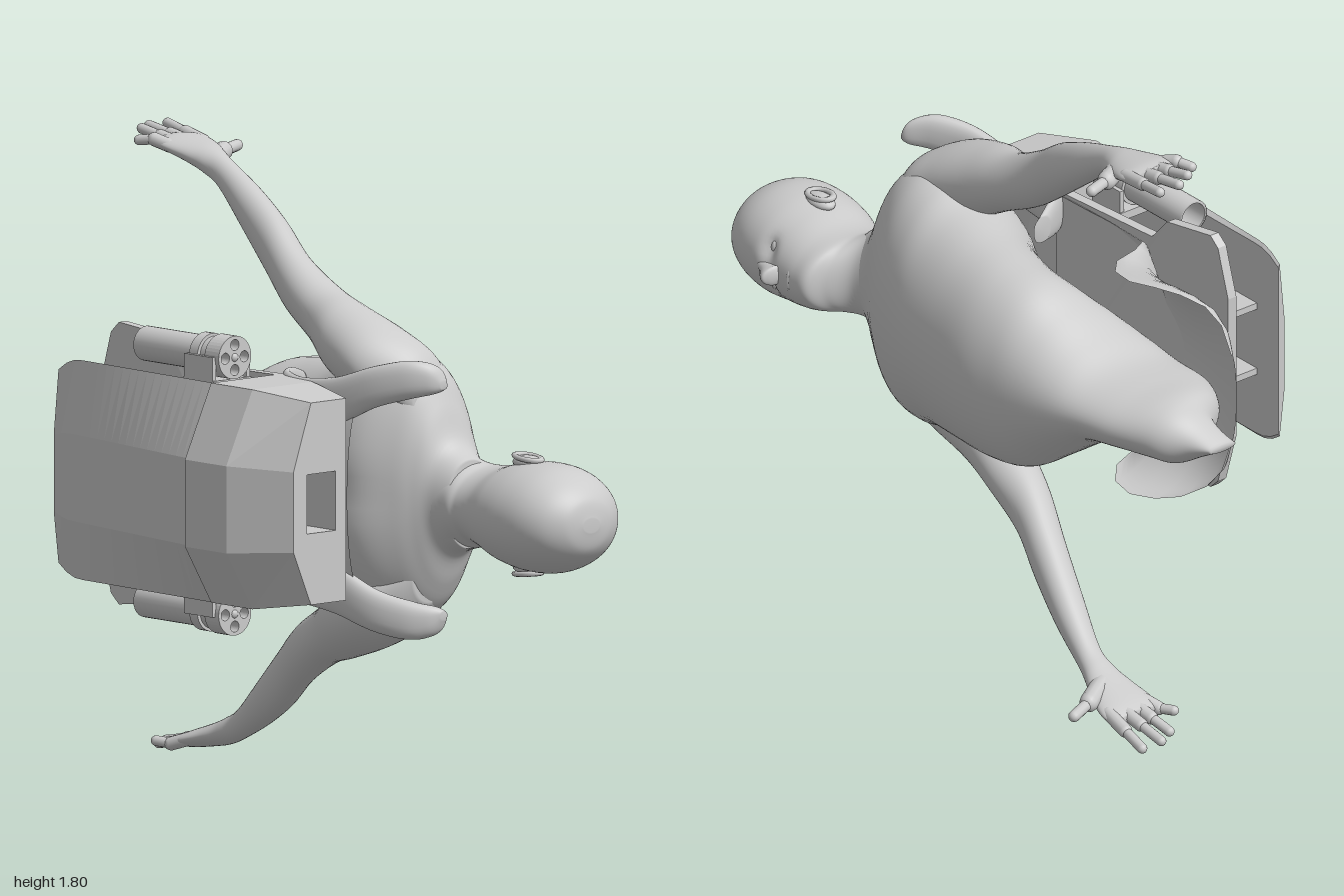
import * as THREE from 'three';

const MID = 0.9; // height of the body's plane of symmetry
const grey = new THREE.MeshStandardMaterial({ color: 0xcccccc });
const thin = new THREE.MeshStandardMaterial({ color: 0xcccccc, side: THREE.DoubleSide });

const spline = (a, b, c, d, t) =>
  0.5 * (2 * b + (c - a) * t + (2 * a - 5 * b + 4 * c - d) * t * t + (3 * b - a - 3 * c + d) * t ** 3);

// Smooth skin over rows [z, back x, front x, centre y, half width], z descending
function loft(rows, power = 2, seg = 40, steps = 6) {
  const at = i => rows[Math.min(Math.max(i, 0), rows.length - 1)];
  const pos = [], idx = [], n = (rows.length - 1) * steps;
  for (let k = 0; k <= n; k++) {
    const i = Math.floor(k / steps), t = (k % steps) / steps;
    const [z, x0, x1, y, w] = rows[0].map((_, j) => spline(at(i - 1)[j], at(i)[j], at(i + 1)[j], at(i + 2)[j], t));
    for (let j = 0; j < seg; j++) {
      const a = (j / seg) * Math.PI * 2, c = Math.cos(a), s = Math.sin(a);
      pos.push((x0 + x1) / 2 + (x1 - x0) / 2 * Math.sign(c) * Math.abs(c) ** (2 / power),
        y + w * Math.sign(s) * Math.abs(s) ** (2 / power), z);
      const p = k * seg + j, q = k * seg + (j + 1) % seg;
      if (k < n) idx.push(p, p + seg, q, q, p + seg, q + seg);
    }
  }
  for (const [row, k] of [[at(0), 0], [at(rows.length), n]]) {
    const centre = pos.length / 3;
    pos.push((row[1] + row[2]) / 2, row[3], row[0]);
    for (let j = 0; j < seg; j++) {
      const p = k * seg + j, q = k * seg + (j + 1) % seg;
      idx.push(centre, ...(k ? [q, p] : [p, q]));
    }
  }
  const g = new THREE.BufferGeometry();
  g.setAttribute('position', new THREE.Float32BufferAttribute(pos, 3));
  g.setIndex(idx);
  g.computeVertexNormals();
  return g;
}

// Move each vertex by a rule
function bend(g, rule) {
  const p = g.attributes.position, v = new THREE.Vector3();
  for (let i = 0; i < p.count; i++) {
    rule(v.fromBufferAttribute(p, i));
    p.setXYZ(i, v.x, v.y, v.z);
  }
  g.computeVertexNormals();
  return g;
}

const polygon = pts => new THREE.Shape(pts.map(p => new THREE.Vector2(...p)));
const extrude = (shape, depth, steps = 1) =>
  new THREE.ExtrudeGeometry(shape, { depth, steps, bevelEnabled: false, curveSegments: 20 });

export function createModel() {
  const model = new THREE.Group();
  const add = (name, g, x = 0, y = 0, z = 0, mat = grey, parent = model) => {
    const m = new THREE.Mesh(g, mat);
    m.name = name;
    m.position.set(x, y, z);
    parent.add(m);
    return m;
  };
  const blob = (name, x, y, z, sx, sy, sz) =>
    add(name, new THREE.SphereGeometry(1, 20, 14), x, y, z).scale.set(sx, sy, sz);

  // Torso, narrowing to the crotch, with a shallow spine groove
  add('torso', bend(loft([
    [0.52, 0.06, 0.25, 0.87, 0.125], [0.46, 0.045, 0.265, 0.88, 0.165], [0.42, 0.02, 0.275, 0.89, 0.26],
    [0.37, -0.02, 0.305, MID, 0.345], [0.28, -0.08, 0.36, MID, 0.39], [0.18, -0.1, 0.395, MID, 0.385],
    [0.08, -0.09, 0.42, MID, 0.35], [-0.05, -0.02, 0.435, MID, 0.325], [-0.2, 0.02, 0.445, MID, 0.31],
    [-0.32, 0.02, 0.43, MID, 0.29], [-0.42, -0.02, 0.41, 0.905, 0.23], [-0.52, -0.05, 0.385, 0.91, 0.165],
    [-0.61, -0.06, 0.36, 0.915, 0.115], [-0.72, -0.06, 0.33, 0.915, 0.1], [-0.82, -0.01, 0.29, 0.915, 0.095],
    [-0.88, 0.06, 0.26, 0.91, 0.08], [-0.94, 0.08, 0.21, 0.91, 0.045], [-1, 0.08, 0.17, 0.91, 0.012]], 2.05, 56), v => {
    const d = v.y - MID;
    if (v.x < 0.1 && v.z < 0.4 && v.z > -0.4) v.x += 0.03 * Math.exp(-d * d / 0.004) * (1 - Math.abs(v.z) / 0.4);
  }));

  // Head with eye sockets, nose, lips and ears
  add('head', bend(loft([
    [1.0, 0.15, 0.21, 0.86, 0.02], [0.985, 0.09, 0.27, 0.86, 0.075], [0.94, 0.035, 0.335, 0.86, 0.12],
    [0.87, 0.005, 0.372, 0.86, 0.15], [0.78, 0, 0.39, 0.86, 0.157], [0.69, 0.015, 0.388, 0.86, 0.145],
    [0.61, 0.045, 0.392, 0.86, 0.125], [0.555, 0.055, 0.385, 0.865, 0.115], [0.525, 0.05, 0.33, 0.865, 0.12],
    [0.48, 0.05, 0.275, 0.87, 0.14], [0.4, 0.03, 0.26, 0.88, 0.19]], 2.05, 56, 8), v => {
    if (v.x < 0.25) return;
    const dy = Math.abs(v.y - 0.86) - 0.055, dz = v.z - 0.725;
    v.x -= 0.02 * Math.exp(-(dy * dy) / 0.001 - (dz * dz) / 0.0006);
  }));
  add('nose', loft([[0.77, 0.36, 0.385, 0.86, 0.012], [0.73, 0.36, 0.405, 0.86, 0.018],
    [0.69, 0.36, 0.434, 0.86, 0.027], [0.675, 0.36, 0.42, 0.86, 0.03], [0.665, 0.36, 0.39, 0.86, 0.015]], 2, 20));
  blob('upperLip', 0.38, 0.86, 0.622, 0.014, 0.038, 0.011);
  blob('lowerLip', 0.378, 0.86, 0.602, 0.014, 0.032, 0.012);
  for (const s of [-1, 1]) {
    blob('eye', 0.35, 0.86 + s * 0.055, 0.725, 0.012, 0.023, 0.013);
    blob('ear', 0.185, 0.86 + s * 0.15, 0.725, 0.034, 0.022, 0.055);
    const rim = add('earRim', new THREE.TorusGeometry(0.03, 0.008, 8, 24), 0.18, 0.86 + s * 0.166, 0.73);
    rim.rotation.x = Math.PI / 2 + s * 0.1;
    rim.scale.y = 1.5;
  }

  // Arms swept back, with spread hands
  for (const s of [-1, 1]) {
    const lean = s < 0 ? 0.065 : 0;
    const shift = z => lean * THREE.MathUtils.clamp((0.1 - z) / 0.7, 0, 1);
    add('arm', loft([
      [0.39, 0.05, 0.17, 0.25, 0.07], [0.34, 0, 0.21, 0.305, 0.095], [0.24, -0.06, 0.2, 0.355, 0.108],
      [0.1, -0.045, 0.19, 0.4, 0.11], [-0.03, 0.01, 0.19, 0.455, 0.09], [-0.17, 0.045, 0.185, 0.53, 0.09],
      [-0.3, 0.085, 0.21, 0.62, 0.088], [-0.44, 0.125, 0.235, 0.708, 0.07], [-0.58, 0.165, 0.25, 0.79, 0.046],
      [-0.65, 0.165, 0.275, 0.82, 0.04], [-0.71, 0.155, 0.305, 0.838, 0.034], [-0.79, 0.145, 0.325, 0.857, 0.026],
      [-0.83, 0.17, 0.3, 0.865, 0.016]].map(([z, a, b, d, w]) => [z, a + shift(z), b + shift(z), MID + s * d, w])));
    const finger = (name, a, b, r) => {
      const p = new THREE.Vector3(a[0] + lean, MID + s * a[1], a[2]);
      const q = new THREE.Vector3(b[0] + lean, MID + s * b[1], b[2]);
      const dir = q.clone().sub(p), mid = p.clone().add(q).multiplyScalar(0.5);
      const m = add(name, new THREE.CapsuleGeometry(r, dir.length(), 6, 12), mid.x, mid.y, mid.z);
      m.quaternion.setFromUnitVectors(new THREE.Vector3(0, 1, 0), dir.normalize());
    };
    [[0.17, 0.135, -0.87], [0.21, 0.2, -0.93], [0.255, 0.255, -0.96], [0.3, 0.325, -0.96]].forEach(([x0, x1, z], i) => {
      const x = (x0 + x1) / 2, zm = (z - 0.78) / 2;
      finger('fingerBase', [x0, 0.855, -0.78], [x, 0.87, zm], 0.02);
      finger('fingerTip', [x, 0.87, zm], [x1, i ? 0.885 : 0.865, z], 0.015);
    });
    finger('thumbBase', [0.23, 0.82, -0.67], [0.33, 0.83, -0.73], 0.028);
    finger('thumbTip', [0.33, 0.83, -0.73], [0.41, 0.835, -0.76], 0.017);

    // Flat shoulder claw hooking from the back plate over the shoulder
    add('shoulderClaw', loft([
      [0.56, 0.0, 0.025, 0.33, 0.012], [0.54, -0.04, 0.025, 0.345, 0.04], [0.49, -0.09, -0.02, 0.345, 0.055],
      [0.4, -0.14, -0.08, 0.32, 0.06], [0.28, -0.17, -0.12, 0.27, 0.07], [0.15, -0.175, -0.13, 0.25, 0.075],
      [0.05, -0.15, -0.1, 0.26, 0.07], [0.0, -0.1, -0.04, 0.27, 0.06], [-0.04, -0.03, 0.03, 0.27, 0.04]]
      .map(([z, a, b, d, w]) => [z, a, b, MID + s * d, w]), 2.4, 24));
  }

  // Curved back plate, flaring into a hip guard: rows [z, half width, back x, flare]
  const plateRows = [[0.34, 0.27, -0.16, 0.05], [0.2, 0.31, -0.185, 0.07], [0, 0.31, -0.185, 0.06],
    [-0.2, 0.31, -0.18, 0.05], [-0.34, 0.315, -0.18, 0.06], [-0.37, 0.32, -0.18, 0.11], [-0.4, 0.328, -0.178, 0.2],
    [-0.46, 0.337, -0.172, 0.25], [-0.54, 0.342, -0.165, 0.255], [-0.61, 0.34, -0.155, 0.21], [-0.67, 0.325, -0.14, 0.15],
    [-0.72, 0.29, -0.13, 0.09], [-0.755, 0.235, -0.12, 0.05], [-0.775, 0.14, -0.11, 0.02]];
  const last = plateRows.length - 1;
  add('backPlate', bend(new THREE.PlaneGeometry(2, last, 36, last), v => {
    const [z, w, x, flare] = plateRows[Math.round(last / 2 - v.y)];
    const a = v.x * Math.PI / 2;
    v.set(x + flare * (1 - Math.cos(a)), MID + w * Math.sin(a), z);
  }), 0, 0, 0, thin);

  // Pack body with a square duct through it
  const pack = new THREE.Group();
  pack.name = 'pack';
  model.add(pack);
  const body = polygon([[-0.13, 0.59], [-0.4, 0.59], [-0.5, 0.76], [-0.5, 1.01], [-0.4, 1.22], [-0.13, 1.22]].reverse());
  body.holes.push(polygon([[-0.35, 0.82], [-0.24, 0.82], [-0.24, 0.99], [-0.35, 0.99]]));
  add('packBody', bend(extrude(body, 0.35, 2), v => {
    v.z += 0.03;
    const duct = v.x > -0.36 && v.x < -0.23;
    if (Math.abs(v.z - 0.205) < 0.01) { if (!duct && v.x > -0.2) v.x = -0.17; }
    else if (v.z > 0.3 && !duct) {
      v.x = v.x > -0.2 ? -0.2 : -0.2 + (v.x + 0.2) * 0.67;
      v.y = 0.905 + (v.y - 0.905) * 0.92;
    }
  }), 0, 0, 0, grey, pack);

  // Outer cover, thinning towards its rounded rear edge
  const cover = polygon([[-0.37, 0.6], [-0.37, 1.21], [-0.4, 1.22], [-0.5, 1.01], [-0.5, 0.76], [-0.4, 0.59]]);
  add('outerCover', bend(extrude(cover, 0.85, 24), v => {
    v.z -= 0.645;
    const t = THREE.MathUtils.clamp((0.2 - v.z) / 0.845, 0, 1);
    v.x = -0.37 + (v.x + 0.37) * (1 - 0.82 * t);
    const end = THREE.MathUtils.clamp((-0.55 - v.z) / 0.095, 0, 1);
    v.y = 0.905 + (v.y - 0.905) * (1 - 0.12 * end * end);
  }), 0, 0, 0, grey, pack);

  // Inner panel with flared rear corners, drawn as (-z, y) and laid along the pack
  const panel = polygon([[-0.05, 0.59], [0.34, 0.59], [0.4, 0.52], [0.57, 0.5], [0.6, 0.53], [0.64, 0.68],
    [0.64, 1.13], [0.6, 1.28], [0.57, 1.31], [0.4, 1.29], [0.34, 1.22], [-0.05, 1.22]]);
  add('innerPanel', bend(extrude(panel, 0.03), v => {
    const z = -v.x;
    v.set(-0.155 + 0.11 * Math.min(z + 0.05, 0) + v.z, v.y, z);
  }), 0, 0, 0, thin, pack);
  for (const y of [0.8, 1.01]) add('web', new THREE.BoxGeometry(0.17, 0.02, 0.37), -0.29, y, -0.365, grey, pack);

  // Side engines: open tube, pierced nozzle head and clamp
  const tube = new THREE.LatheGeometry([[0.042, -0.13], [0.05, -0.13], [0.05, 0.13], [0.042, 0.13], [0.042, -0.13]]
    .map(p => new THREE.Vector2(...p)), 28).rotateX(Math.PI / 2);
  const disc = new THREE.Shape().absarc(0, 0, 0.062, 0, Math.PI * 2);
  for (let i = 0; i < 4; i++) {
    const a = i * Math.PI / 2;
    disc.holes.push(new THREE.Path().absarc(0.036 * Math.cos(a), 0.036 * Math.sin(a), 0.016, 0, Math.PI * 2, true));
  }
  for (const s of [-1, 1]) {
    const engine = new THREE.Group();
    engine.name = 'engine';
    engine.position.set(-0.26, 0.905 + s * 0.368, 0);
    pack.add(engine);
    const part = (name, g, x, y, z) => add(name, g, x, y, z, thin, engine);
    part('engineTube', tube, 0, 0, -0.27);
    part('nozzleHead', extrude(disc, 0.06), 0, 0, -0.085);
    part('nozzleNeck', new THREE.CylinderGeometry(0.052, 0.052, 0.03, 28).rotateX(Math.PI / 2), 0, 0, -0.1);
    part('nozzleCollar', new THREE.CylinderGeometry(0.06, 0.06, 0.035, 28).rotateX(Math.PI / 2), 0, 0, -0.135);
    part('nozzleHub', new THREE.SphereGeometry(0.016, 16, 10), 0, 0, -0.035);
    for (const e of [-1, 1]) part('clampArm', new THREE.BoxGeometry(0.014, 0.09, 0.12), e * 0.065, -s * 0.04, -0.1);
    part('clampBase', new THREE.BoxGeometry(0.144, 0.025, 0.13), 0, -s * 0.075, -0.1);
  }
  return model;
}
